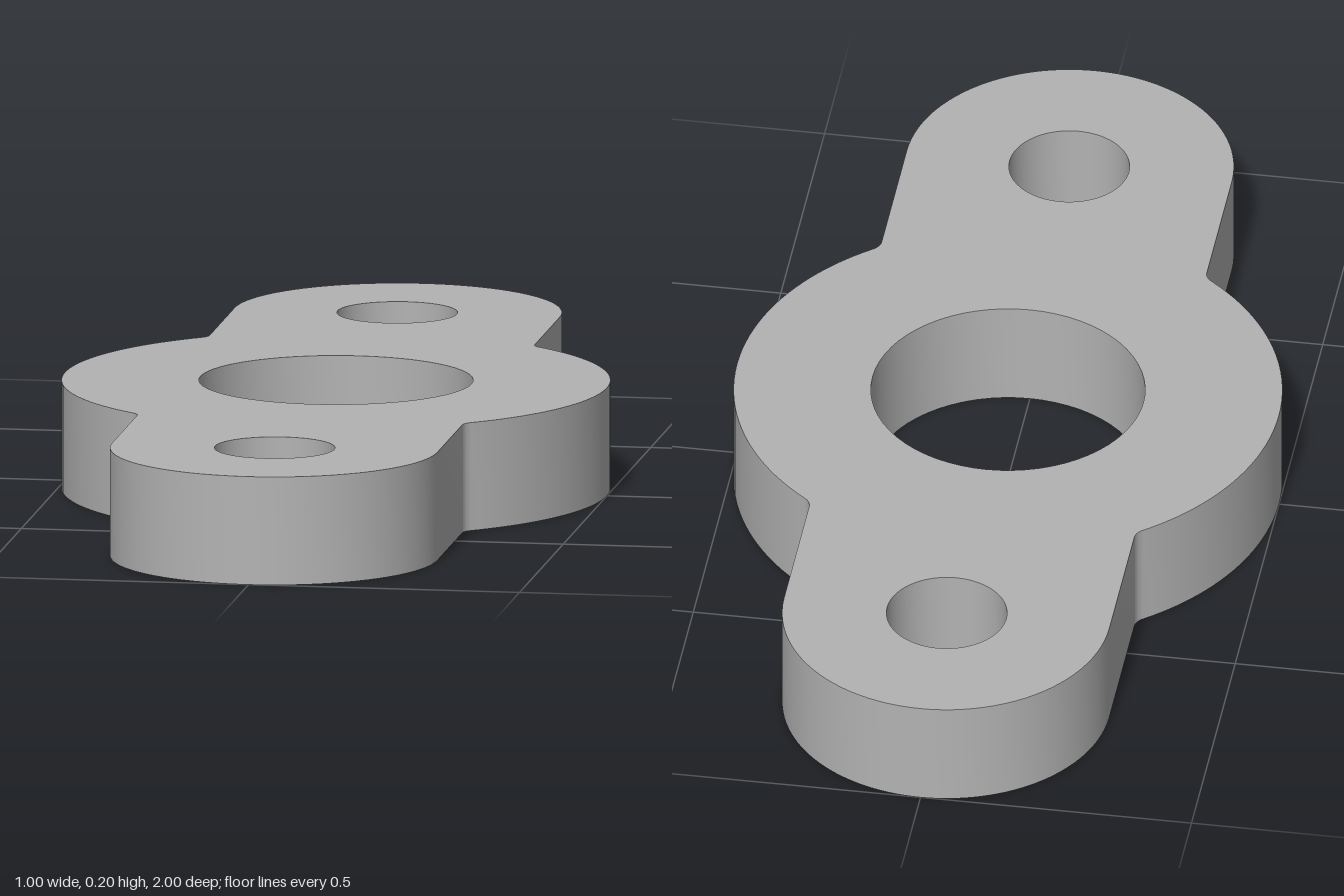
import * as THREE from 'three';
import { toCreasedNormals } from 'three/addons/utils/BufferGeometryUtils.js';

const THICKNESS = 0.2;
const HUB_R = 0.5, BORE_R = 0.25;
const LUG_R = 0.3, LUG_Z = 0.7, BOLT_R = 0.11;
const FILLET = 0.03;

// Add an arc to a point list, skipping points that repeat the previous one
function addArc(points, cx, cy, r, from, to, steps) {
  for (let i = 0; i <= steps; i++) {
    const a = from + (to - from) * i / steps;
    const p = new THREE.Vector2(cx + r * Math.cos(a), cy + r * Math.sin(a));
    const last = points[points.length - 1];
    if (!last || last.distanceTo(p) > 1e-5) points.push(p);
  }
}

// Round hub with a rounded lug at each end, blended by small fillets
function flangeOutline() {
  const fx = LUG_R + FILLET;
  const fy = Math.sqrt((HUB_R + FILLET) ** 2 - fx ** 2);
  const a = Math.atan2(fy, fx);
  const points = [];
  for (const [side, turn] of [[1, 0], [-1, Math.PI]]) {
    addArc(points, 0, 0, HUB_R, turn - a, turn + a, 40);
    addArc(points, side * fx, side * fy, FILLET, turn + a + Math.PI, turn + Math.PI, 6);
    addArc(points, 0, side * LUG_Z, LUG_R, turn, turn + Math.PI, 48);
    addArc(points, -side * fx, side * fy, FILLET, turn, turn - a, 6);
  }
  if (points[0].distanceTo(points[points.length - 1]) < 1e-5) points.pop();
  return points;
}

function circleHole(y, r) {
  const points = [];
  addArc(points, 0, y, r, 0, -Math.PI * 2, 64);
  points.pop();
  return new THREE.Path(points);
}

export function createModel() {
  const group = new THREE.Group();
  group.name = 'flange';
  const steel = new THREE.MeshStandardMaterial({ color: 0xb3b3b3 });
  steel.name = 'grey steel';

  // Plate with central bore and two bolt holes
  const shape = new THREE.Shape(flangeOutline());
  shape.holes.push(circleHole(0, BORE_R), circleHole(LUG_Z, BOLT_R), circleHole(-LUG_Z, BOLT_R));
  const geometry = new THREE.ExtrudeGeometry(shape, { depth: THICKNESS, bevelEnabled: false });
  geometry.rotateX(-Math.PI / 2);

  const plate = new THREE.Mesh(toCreasedNormals(geometry, Math.PI / 6), steel);
  plate.name = 'flangePlate';
  group.add(plate);
  return group;
}
